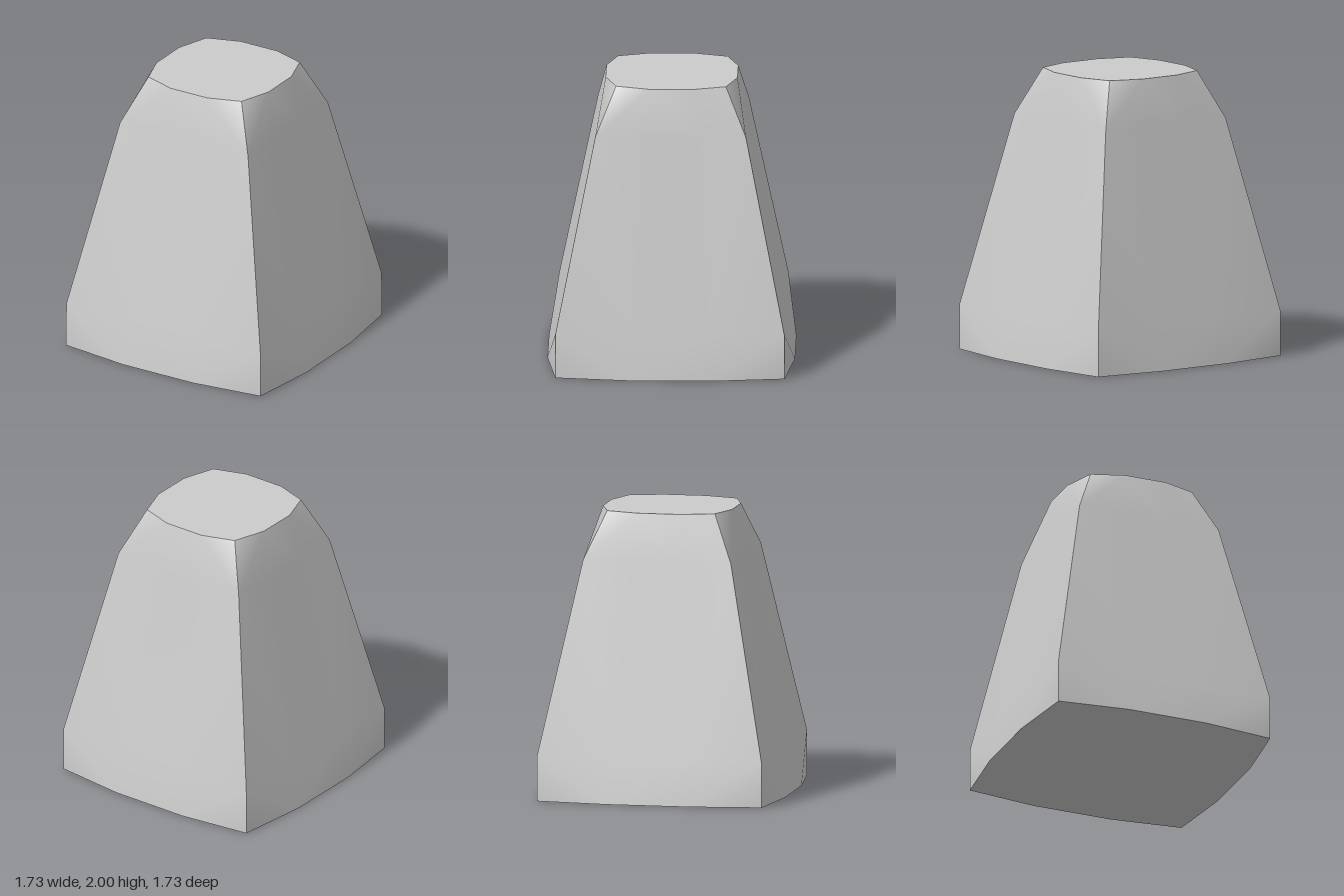
import * as THREE from 'three';

// Rows of the tapered block: height, corner half-width, inner point offset, inner point depth
const ROWS = [
  { y: 0, corner: 0.8, inner: 0.29, depth: 0.863 },
  { y: 0.32, corner: 0.798, inner: 0.27, depth: 0.798 },
  { y: 1.67, corner: 0.526, inner: 0.175, depth: 0.526 },
  { y: 2, corner: 0.383, inner: 0.15, depth: 0.46 },
];

// One bowed wall facing +z, a 4 x 4 grid whose corners are pulled in
function wallGeometry() {
  const positions = [];
  const index = [];
  for (const { y, corner, inner, depth } of ROWS) {
    positions.push(-corner, y, corner, -inner, y, depth, inner, y, depth, corner, y, corner);
  }
  for (let r = 0; r < 3; r++) {
    for (let c = 0; c < 3; c++) {
      const a = r * 4 + c, b = a + 1, d = a + 4, e = a + 5;
      // Diagonals cut across the grid corners so the wall stays convex
      const falling = (r < 2) === (c < 1);
      if (falling) index.push(a, b, d, b, e, d);
      else index.push(a, b, e, a, e, d);
    }
  }
  const geometry = new THREE.BufferGeometry();
  geometry.setAttribute('position', new THREE.Float32BufferAttribute(positions, 3));
  geometry.setIndex(index);
  geometry.computeVertexNormals();
  return geometry;
}

// Flat twelve-sided cap closing a row
function capGeometry({ y, corner, inner, depth }, up) {
  const points = [];
  for (let i = 0; i < 4; i++) {
    for (const [px, py] of [[corner, -corner], [depth, -inner], [depth, inner]]) {
      points.push(new THREE.Vector2(px, py).rotateAround(new THREE.Vector2(), i * Math.PI / 2));
    }
  }
  const geometry = new THREE.ShapeGeometry(new THREE.Shape(points));
  geometry.rotateX(up ? -Math.PI / 2 : Math.PI / 2);
  geometry.translate(0, y, 0);
  return geometry;
}

export function createModel() {
  const group = new THREE.Group();
  group.name = 'taperedBlock';
  const material = new THREE.MeshStandardMaterial({ color: 0xcccccc });
  const add = (name, geometry) => {
    const mesh = new THREE.Mesh(geometry, material);
    mesh.name = name;
    group.add(mesh);
    return mesh;
  };

  // Four identical walls, separate so the upright edges stay sharp
  const wall = wallGeometry();
  ['frontWall', 'leftWall', 'backWall', 'rightWall'].forEach((name, i) => {
    add(name, wall).rotation.y = i * Math.PI / 2;
  });

  add('topCap', capGeometry(ROWS[3], true));
  add('bottomCap', capGeometry(ROWS[0], false));
  return group;
}
